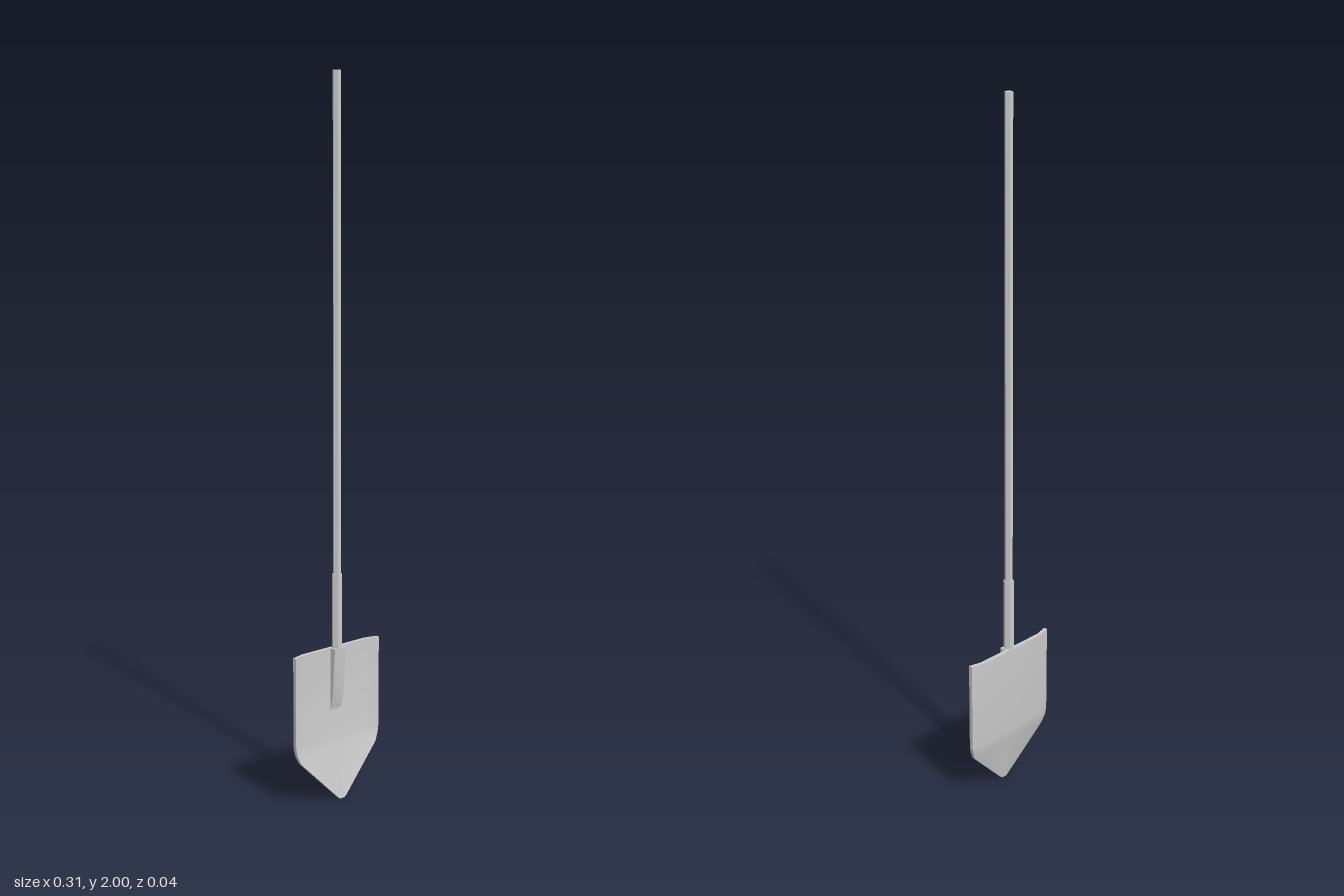
import * as THREE from 'three';
import { toCreasedNormals } from 'three/addons/utils/BufferGeometryUtils.js';

// Closed solid through rows (top to bottom); each row lists its front points left to right, then its back points right to left.
function loft(rows, crease) {
  const n = rows[0].length, index = [];
  const quad = (a, b, c, d) => index.push(a, b, c, a, c, d);
  for (let r = 0; r < rows.length - 1; r++) {
    for (let i = 0; i < n; i++) {
      const a = r * n + i, b = r * n + (i + 1) % n;
      quad(a, a + n, b + n, b);
    }
  }
  const last = (rows.length - 1) * n;
  for (let i = 0; i < n / 2 - 1; i++) {
    quad(i, i + 1, n - 2 - i, n - 1 - i);
    quad(last + n - 1 - i, last + n - 2 - i, last + i + 1, last + i);
  }
  const geometry = new THREE.BufferGeometry();
  geometry.setAttribute('position', new THREE.Float32BufferAttribute(rows.flat(2), 3));
  geometry.setIndex(index);
  return toCreasedNormals(geometry, crease);
}

export function createModel() {
  const group = new THREE.Group();
  const smooth = new THREE.MeshStandardMaterial({ color: 0xcccccc });
  const flat = new THREE.MeshStandardMaterial({ color: 0xcccccc, flatShading: true });

  const add = (name, geometry, material) => {
    const mesh = new THREE.Mesh(geometry, material);
    mesh.name = name;
    group.add(mesh);
    return mesh;
  };

  // Hexagonal rod with corners on the x axis
  const rod = (name, radius, bottom, top) => {
    const geometry = new THREE.CylinderGeometry(radius, radius, top - bottom, 6);
    geometry.rotateY(Math.PI / 6);
    add(name, geometry, flat).position.set(0, (top + bottom) / 2, -0.005);
  };
  rod('handle', 0.0115, 0.6, 2);
  rod('socket', 0.015, 0.41, 0.645);

  // Dished blade whose lower half bends forward: y, half width, front z at centre and edge, thickness
  const bladeRows = [
    [0.435, 0.155, -0.01, 0, 0.011],
    [0.175, 0.155, -0.01, 0, 0.011],
    [0.155, 0.151, -0.007, 0.001, 0.011],
    [0.13, 0.14, -0.003, 0.004, 0.01],
    [0.006, 0.016, 0.017, 0.0175, 0.006],
    [0, 0.008, 0.018, 0.018, 0.006],
  ].map(([y, w, centre, edge, thick]) => {
    const front = [-1, -0.75, 0, 0.75, 1].map((u) => [u * w, y, Math.abs(u) === 1 ? edge : centre]);
    const back = front.map(([x, py, z]) => [x, py, z - thick]).reverse();
    return [...front, ...back];
  });
  add('blade', loft(bladeRows, 0.6), smooth);

  // Wedge that carries the socket down onto the blade: y, front z
  const tongueRows = [[0.435, 0.009], [0.29, -0.001], [0.255, -0.0105]].map(([y, z]) => [
    [-0.02, y, z], [0.02, y, z], [0.02, y, -0.014], [-0.02, y, -0.014],
  ]);
  add('tongue', loft(tongueRows, 0.2), smooth);

  return group;
}
